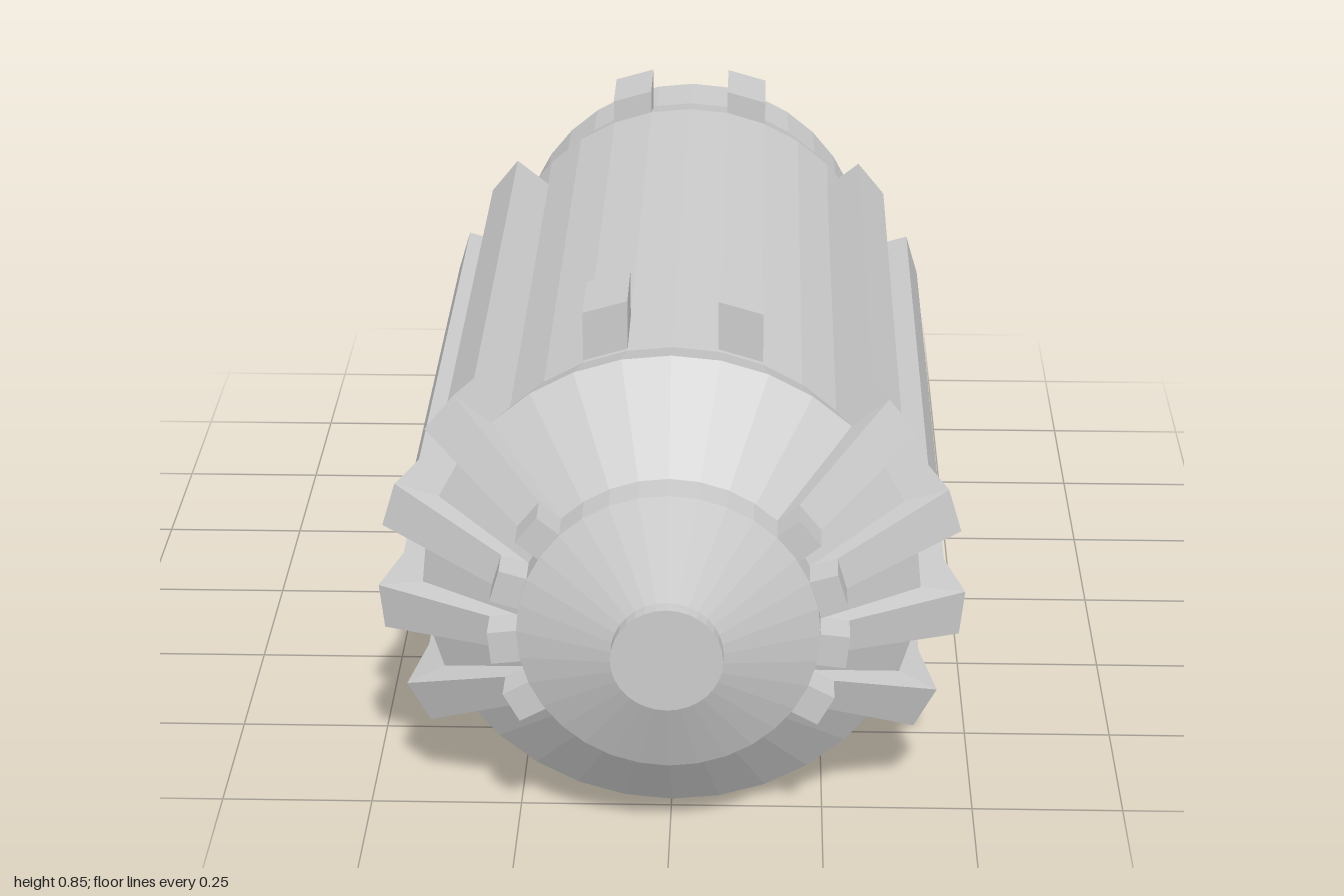
import * as THREE from 'three';

const material = new THREE.MeshStandardMaterial({ color: 0xcccccc, flatShading: true });

function addMesh(parent, name, geometry) {
  const mesh = new THREE.Mesh(geometry, material);
  mesh.name = name;
  parent.add(mesh);
  return mesh;
}

// Faceted solid of revolution lying along z, from [z, radius] pairs
function turned(profile) {
  const points = profile.map(([z, r]) => new THREE.Vector2(r, z));
  return new THREE.LatheGeometry(points, 32).rotateX(Math.PI / 2);
}

// Bent bar pointing along +x: rectangular sections [z, inner, outer, width], back to front
function finGeometry(sections) {
  const positions = [];
  const index = [];
  for (const [z, inner, outer, width] of sections) {
    const h = width / 2;
    positions.push(inner, -h, z, outer, -h, z, outer, h, z, inner, h, z);
  }
  for (let s = 0; s < sections.length - 1; s++) {
    for (let k = 0; k < 4; k++) {
      const a = s * 4 + k, b = s * 4 + (k + 1) % 4;
      index.push(a, b, b + 4, a, b + 4, a + 4);
    }
  }
  const e = (sections.length - 1) * 4;
  index.push(0, 2, 1, 0, 3, 2, e, e + 1, e + 2, e, e + 2, e + 3);
  const geometry = new THREE.BufferGeometry();
  geometry.setAttribute('position', new THREE.Float32BufferAttribute(positions, 3));
  geometry.setIndex(index);
  geometry.computeVertexNormals();
  return geometry;
}

export function createModel() {
  const model = new THREE.Group();
  model.name = 'finnedCapsule';

  // Main shell with stepped tail and flared front shoulder
  addMesh(model, 'body', turned([
    [-1, 0], [-1, 0.257], [-0.91, 0.257], [-0.765, 0.34], [-0.64, 0.343], [-0.515, 0.375],
    [0.63, 0.375], [0.73, 0.404], [0.855, 0.238], [0.855, 0],
  ])).position.y = 0.405;

  // Collar, cone and small end cap
  addMesh(model, 'nose', turned([
    [0.8, 0], [0.8, 0.24], [0.91, 0.24], [0.975, 0.088], [1, 0.088], [1, 0],
  ])).position.y = 0.411;

  // Four radial fins on each side
  const fin = finGeometry([
    [-0.39, 0.34, 0.445, 0.077], [0.62, 0.34, 0.445, 0.077], [0.73, 0.34, 0.475, 0.077],
    [0.85, 0.2, 0.285, 0.055], [0.907, 0.2, 0.285, 0.055],
  ]);
  for (const degrees of [39, 16.5, -6, -28.5]) {
    for (const side of ['left', 'right']) {
      const mesh = addMesh(model, side + 'Fin', fin);
      const angle = THREE.MathUtils.degToRad(degrees);
      mesh.rotation.z = side === 'left' ? angle : Math.PI - angle;
      mesh.position.y = 0.408;
    }
  }

  // Paired lugs on top, sloping outward
  for (const [end, z, top] of [['front', 0.49, 0.855], ['rear', -0.645, 0.815]]) {
    for (const s of [1, -1]) {
      const shape = new THREE.Shape([
        new THREE.Vector2(s * 0.073, top - 0.095), new THREE.Vector2(s * 0.145, top - 0.115),
        new THREE.Vector2(s * 0.145, top - 0.021), new THREE.Vector2(s * 0.073, top),
      ]);
      const geometry = new THREE.ExtrudeGeometry(shape, { depth: 0.13, bevelEnabled: false });
      addMesh(model, end + (s > 0 ? 'Left' : 'Right') + 'Lug', geometry).position.z = z;
    }
  }
  return model;
}
